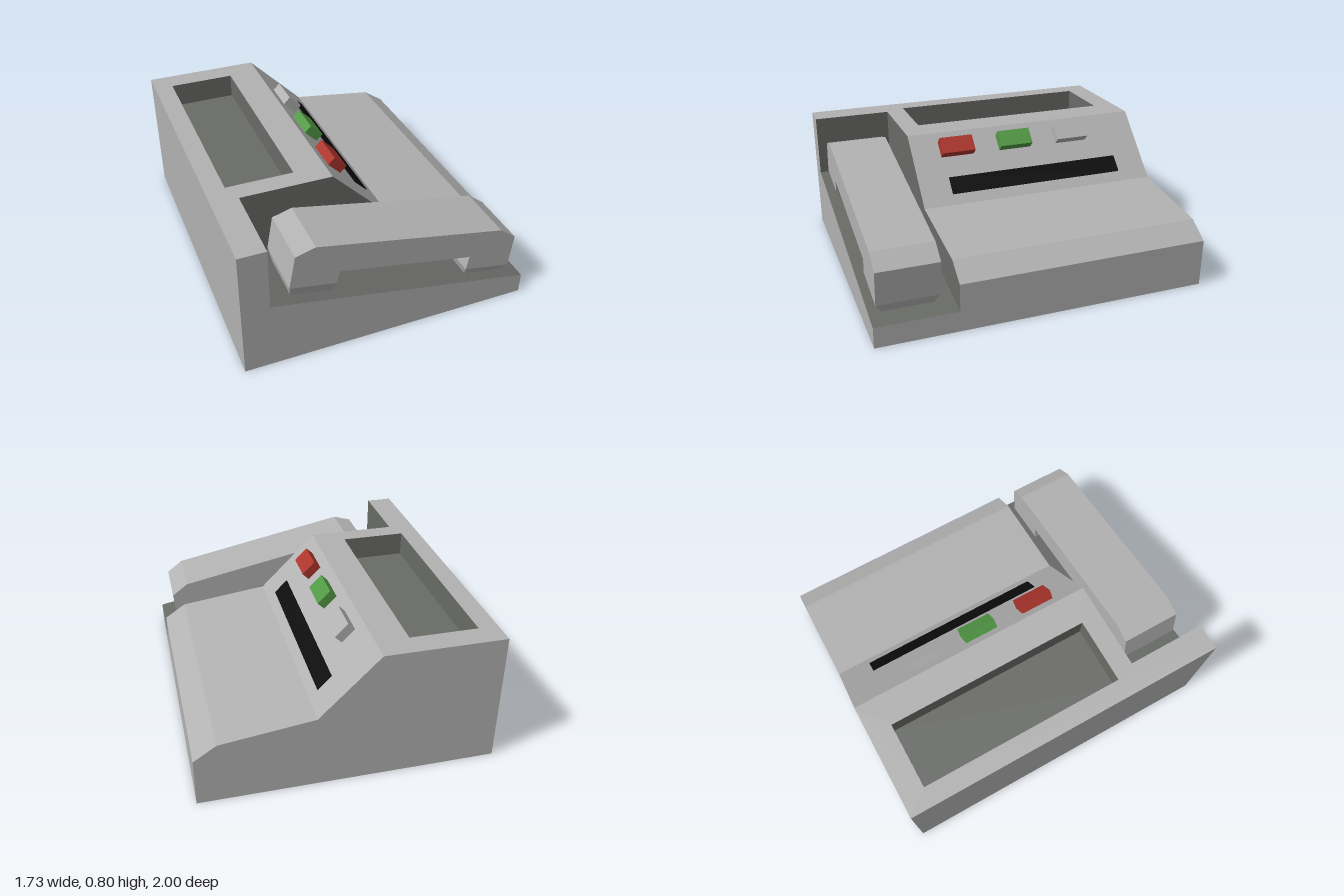
import * as THREE from 'three';
import { ConvexGeometry } from 'three/addons/geometries/ConvexGeometry.js';

const paint = (name, color) => {
  const m = new THREE.MeshStandardMaterial({ color });
  m.name = name;
  return m;
};

const shapeOf = (pts) => new THREE.Shape(pts.map(([x, y]) => new THREE.Vector2(x, y)));

// Flat face at depth z, facing +z or (back = true) -z
function panel(pts, z, back = false) {
  const geo = new THREE.ShapeGeometry(shapeOf(back ? pts.map(([x, y]) => [-x, y]) : pts));
  if (back) geo.rotateY(Math.PI);
  return geo.translate(0, 0, z);
}

// Walls swept along z from a profile that keeps the solid on its left
function strip(pts, z0, z1) {
  const v = [];
  for (let i = 0; i + 1 < pts.length; i++) {
    const a = pts[i], b = pts[i + 1];
    v.push(...a, z0, ...b, z0, ...b, z1, ...a, z0, ...b, z1, ...a, z1);
  }
  const geo = new THREE.BufferGeometry();
  geo.setAttribute('position', new THREE.Float32BufferAttribute(v, 3));
  geo.computeVertexNormals();
  return geo;
}

export function createModel() {
  const grey = paint('casing grey', 0xb2b2b2);
  const dark = paint('recess grey', 0x696b67);
  const red = paint('button red', 0xac352c);
  const green = paint('button green', 0x529a46);
  const black = paint('slot black', 0x0c0c0c);

  const model = new THREE.Group();
  model.name = 'deskPhone';
  const group = (name) => {
    const g = new THREE.Group();
    g.name = name;
    model.add(g);
    return g;
  };
  const add = (parent, name, geo, mat) => {
    const mesh = new THREE.Mesh(geo, mat);
    mesh.name = name;
    parent.add(mesh);
    return mesh;
  };

  const L = -0.865, R = 0.865, TOP = 0.795, SPLIT = 0.52;
  const slope = [[R, 0.29], [0.735, 0.377], [0.19, 0.447], [-0.16, TOP]];
  const cradleLine = [[R, 0.125], [-0.705, 0.42], [-0.705, TOP]];

  // Casing
  const casing = group('casing');
  add(casing, 'backFace', panel([[L, 0], [R, 0], ...slope, [L, TOP]], -1, true), grey);
  add(casing, 'frontFace', panel([[L, 0], [R, 0], ...cradleLine, [L, TOP]], 1), grey);
  add(casing, 'sideAndBase', strip([[L, TOP], [L, 0], [R, 0]], -1, 1), grey);
  add(casing, 'slopedFaces', strip([[R, 0], ...slope], -1, SPLIT), grey);
  add(casing, 'frontSideEdge', strip([[R, 0], [R, 0.125]], SPLIT, 1), grey);

  // Top with the opening for the tray; shape y is -z
  const tray = { l: -0.75, r: -0.35, back: -0.86, front: 0.4, floor: 0.645 };
  const topShape = shapeOf([[L, -1], [-0.705, -1], [-0.705, -SPLIT], [-0.16, -SPLIT], [-0.16, 1], [L, 1]]);
  topShape.holes.push(shapeOf([
    [tray.l, -tray.front], [tray.l, -tray.back], [tray.r, -tray.back], [tray.r, -tray.front],
  ]));
  add(casing, 'topFace', new THREE.ShapeGeometry(topShape).rotateX(-Math.PI / 2).translate(0, TOP, 0), grey);

  // Sunken tray
  const trayGroup = group('tray');
  const trayProfile = [[tray.r, TOP], [tray.r, tray.floor], [tray.l, tray.floor], [tray.l, TOP]];
  add(trayGroup, 'trayFloorAndSides', strip(trayProfile, tray.back, tray.front), dark);
  add(trayGroup, 'trayBackWall', panel(trayProfile, tray.back), dark);
  add(trayGroup, 'trayFrontWall', panel(trayProfile, tray.front, true), dark);

  // Cradle recess for the handset
  const cradle = group('cradle');
  add(cradle, 'cradleFloor', strip(cradleLine, SPLIT, 1), dark);
  add(cradle, 'cradleWall', panel([[-0.705, 0.42], [R, 0.125], ...slope, [-0.705, TOP]], SPLIT), dark);

  // Handset: extruded grip with a tapered cup at each end
  const handset = group('handset');
  const z0 = 0.6, z1 = 0.963, inset = 0.035;
  const grip = shapeOf([
    [-0.585, 0.475], [-0.315, 0.427], [-0.3, 0.503], [0.508, 0.347], [0.492, 0.258],
    [0.78, 0.203], [0.8, 0.41], [0.7, 0.485], [-0.435, 0.71], [-0.55, 0.677],
  ]);
  add(handset, 'grip', new THREE.ExtrudeGeometry(grip, { depth: z1 - z0, bevelEnabled: false })
    .translate(0, 0, z0), grey);
  const cups = {
    earCup: [[-0.585, 0.475], [-0.315, 0.427], [-0.57, 0.397], [-0.33, 0.352]],
    mouthCup: [[0.492, 0.258], [0.78, 0.203], [0.51, 0.195], [0.755, 0.149]],
  };
  for (const [name, pts] of Object.entries(cups)) {
    const corners = pts.flatMap(([x, y], i) => {
      const d = i > 1 ? inset : 0;
      return [new THREE.Vector3(x, y, z0 + d), new THREE.Vector3(x, y, z1 - d)];
    });
    add(handset, name, new ConvexGeometry(corners), grey);
  }

  // Buttons and slot on the 45 degree panel
  const onSlope = (name, mat, x, z, length, height, width) => {
    const geo = new THREE.BoxGeometry(length, height, width).translate(0, height / 2, 0);
    const mesh = add(controls, name, geo, mat);
    mesh.position.set(x, 0.635 - x, z);
    mesh.rotation.z = -Math.PI / 4;
  };
  const controls = group('controls');
  [['redButton', red, 0.235], ['greenButton', green, -0.148], ['greyButton', grey, -0.535]]
    .forEach(([name, mat, z]) => onSlope(name, mat, -0.077, z, 0.107, 0.057, 0.21));
  onSlope('slot', black, 0.1, -0.24, 0.112, 0.006, 1.13);

  return model;
}
